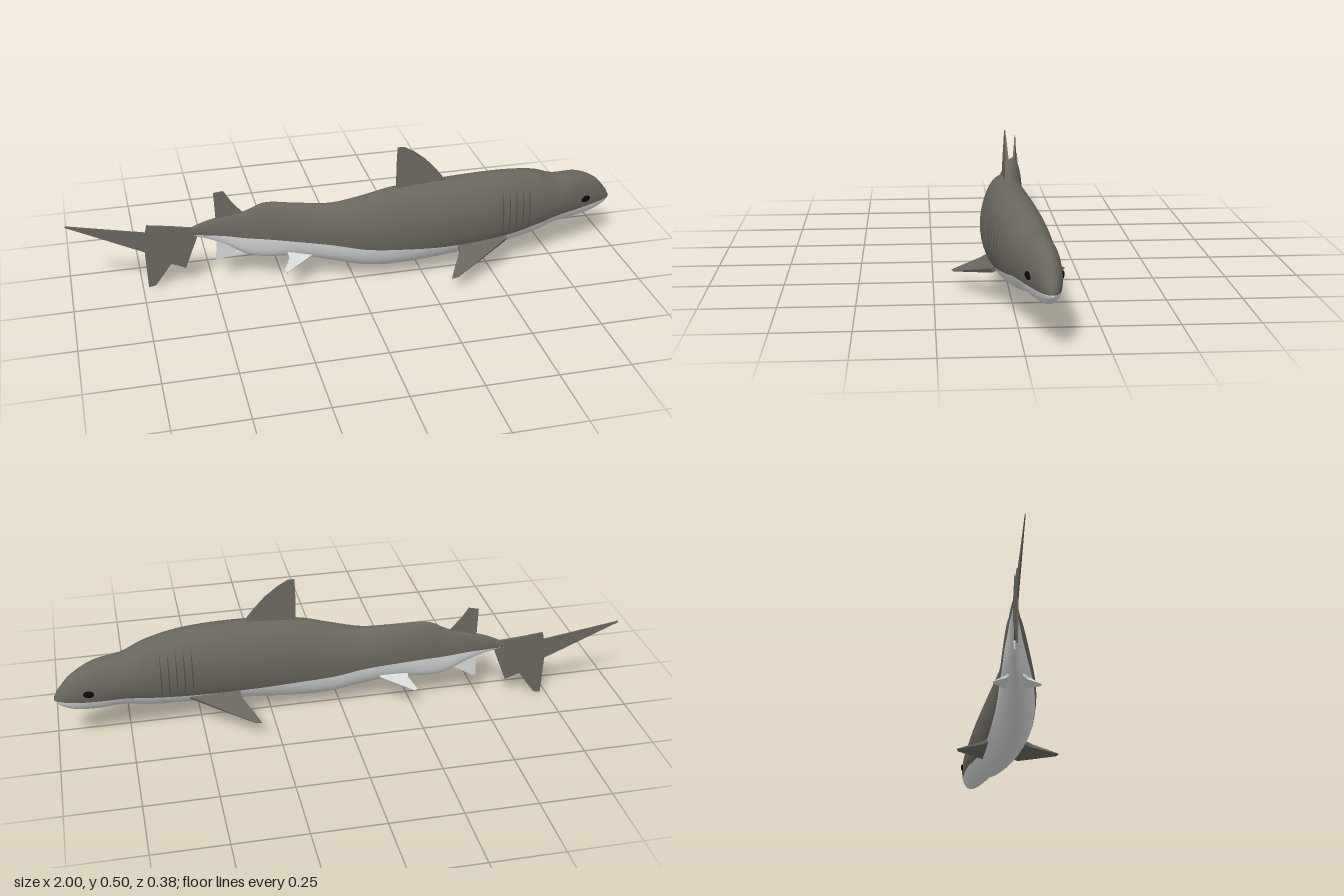
import * as THREE from 'three';

const back = new THREE.MeshStandardMaterial({ color: 0x69665d });
back.name = 'slate back';
const belly = new THREE.MeshStandardMaterial({ color: 0xd6d8d7 });
belly.name = 'pale belly';
const black = new THREE.MeshStandardMaterial({ color: 0x0a0a0a });
black.name = 'eye black';
const slit = new THREE.MeshStandardMaterial({ color: 0x504e47 });
slit.name = 'gill grey';

// Body stations: x, top, bottom, centre z, half width, colour line height
const rows = [
  [-0.61, 0.208, 0.2, -0.098, 0.003, 0.204],
  [-0.53, 0.247, 0.187, -0.088, 0.01, 0.2],
  [-0.45, 0.27, 0.155, -0.078, 0.018, 0.196],
  [-0.38, 0.284, 0.115, -0.068, 0.025, 0.188],
  [-0.31, 0.314, 0.1, -0.058, 0.034, 0.184],
  [-0.2, 0.307, 0.1, -0.04, 0.047, 0.175],
  [-0.08, 0.301, 0.078, -0.021, 0.06, 0.163],
  [0.03, 0.322, 0.053, -0.008, 0.071, 0.143],
  [0.14, 0.348, 0.047, 0, 0.079, 0.135],
  [0.33, 0.363, 0.062, 0.003, 0.091, 0.128],
  [0.54, 0.362, 0.079, -0.01, 0.09, 0.135],
  [0.68, 0.342, 0.096, -0.03, 0.079, 0.153],
  [0.76, 0.312, 0.117, -0.044, 0.07, 0.166],
  [0.86, 0.302, 0.121, -0.062, 0.055, 0.17],
  [0.94, 0.262, 0.134, -0.074, 0.038, 0.174],
  [0.985, 0.212, 0.157, -0.077, 0.02, 0.177],
  [1.0, 0.185, 0.172, -0.077, 0.006, 0.178],
];

// Smooth interpolation between stations
function slope(i, k) {
  const a = rows[Math.max(i - 1, 0)], b = rows[Math.min(i + 1, rows.length - 1)];
  return (b[k] - a[k]) / (b[0] - a[0]);
}
function at(x) {
  let i = 0;
  while (i < rows.length - 2 && x > rows[i + 1][0]) i++;
  const a = rows[i], b = rows[i + 1], d = b[0] - a[0];
  const t = THREE.MathUtils.clamp((x - a[0]) / d, 0, 1), t2 = t * t, t3 = t2 * t;
  const v = (k) => a[k] * (2 * t3 - 3 * t2 + 1) + b[k] * (3 * t2 - 2 * t3)
    + d * (slope(i, k) * (t3 - 2 * t2 + t) + slope(i + 1, k) * (t3 - t2));
  const top = v(1), bottom = v(2), yc = (top + bottom) / 2, h = (top - bottom) / 2;
  return { yc, h, cz: v(3), w: v(4), line: Math.asin(THREE.MathUtils.clamp((v(5) - yc) / h, -0.9, 0.9)) };
}
function skin(x, angle, lift = 0) {
  const s = at(x);
  return [x, s.yc + (s.h + lift) * Math.sin(angle), s.cz + (s.w + lift) * Math.cos(angle)];
}

// Lofted body, its rings split at the colour line
function makeBody() {
  const N = 120, UP = 30, LOW = 18, R = UP + LOW, pos = [], upper = [], lower = [];
  for (let i = 0; i <= N; i++) {
    const x = -0.61 + 1.61 * Math.sin((i / N) * Math.PI / 2), s = at(x);
    for (let j = 0; j < R; j++) {
      const angle = j <= UP
        ? s.line + (Math.PI - 2 * s.line) * (j / UP)
        : Math.PI - s.line + (Math.PI + 2 * s.line) * ((j - UP) / LOW);
      if (i === 0 || i === N) pos.push(x, s.yc, s.cz);
      else pos.push(...skin(x, angle));
      if (i === N) continue;
      const a = i * R + j, b = i * R + (j + 1) % R;
      (j < UP ? upper : lower).push(a, a + R, b, b, a + R, b + R);
    }
  }
  const g = new THREE.BufferGeometry();
  g.setAttribute('position', new THREE.Float32BufferAttribute(pos, 3));
  g.setIndex([...upper, ...lower]);
  g.addGroup(0, upper.length, 0);
  g.addGroup(upper.length, lower.length, 1);
  g.computeVertexNormals();
  return new THREE.Mesh(g, [back, belly]);
}

// Flat fin that thins with distance from its root; centre(x) bends it sideways
function makeFin(name, material, points, thick, thin, fade, centre = () => 0) {
  const shape = new THREE.Shape(points.map(([x, y]) => new THREE.Vector2(x, y)));
  const g = new THREE.ExtrudeGeometry(shape, { depth: 1, bevelEnabled: false });
  const p = g.attributes.position;
  for (let i = 0; i < p.count; i++) {
    const x = p.getX(i), t = THREE.MathUtils.clamp(fade(x, p.getY(i)), 0, 1);
    p.setZ(i, centre(x) + (p.getZ(i) - 0.5) * THREE.MathUtils.lerp(thick, thin, t));
  }
  g.computeVertexNormals();
  const mesh = new THREE.Mesh(g, material);
  mesh.name = name;
  return mesh;
}

// Thin gill strip lying on the skin
function makeGill(x, side) {
  const pos = [], index = [], n = 20;
  for (let i = 0; i <= n; i++) {
    const a = -0.5 + 1.25 * (i / n), angle = side > 0 ? a : Math.PI - a;
    const half = 0.0022 * Math.sin(Math.PI * (0.05 + 0.9 * i / n));
    pos.push(...skin(x - half, angle, 0.001), ...skin(x + half, angle, 0.001));
    if (i === n) continue;
    const k = i * 2;
    if (side > 0) index.push(k, k + 1, k + 2, k + 2, k + 1, k + 3);
    else index.push(k, k + 2, k + 1, k + 2, k + 3, k + 1);
  }
  const g = new THREE.BufferGeometry();
  g.setAttribute('position', new THREE.Float32BufferAttribute(pos, 3));
  g.setIndex(index);
  g.computeVertexNormals();
  const mesh = new THREE.Mesh(g, slit);
  mesh.name = side > 0 ? 'gillSlitFront' : 'gillSlitRear';
  return mesh;
}

export function createModel() {
  const model = new THREE.Group();
  model.name = 'shark';
  const body = makeBody();
  body.name = 'body';
  model.add(body);

  // Fins on the midline
  model.add(makeFin('dorsalFin', back,
    [[0.155, 0.33], [0.153, 0.42], [0.155, 0.503], [0.178, 0.503], [0.215, 0.482], [0.26, 0.445], [0.3, 0.4], [0.335, 0.355], [0.33, 0.33]],
    0.022, 0.002, (x, y) => (y - 0.34) / 0.16, () => 0.002));
  model.add(makeFin('secondDorsalFin', back,
    [[-0.48, 0.24], [-0.485, 0.36], [-0.45, 0.366], [-0.425, 0.325], [-0.385, 0.275], [-0.39, 0.25]],
    0.012, 0.002, (x, y) => (y - 0.26) / 0.1, (x) => at(x).cz));
  model.add(makeFin('analFin', belly,
    [[-0.48, 0.19], [-0.487, 0.092], [-0.475, 0.09], [-0.39, 0.14], [-0.39, 0.17]],
    0.012, 0.002, (x, y) => (0.16 - y) / 0.07, (x) => at(x).cz));
  model.add(makeFin('tailFin', back,
    [[-1, 0.274], [-1, 0.268], [-0.735, 0.145], [-0.73, 0], [-0.705, 0.005], [-0.645, 0.09], [-0.595, 0.068],
      [-0.55, 0.19], [-0.55, 0.225], [-0.64, 0.238], [-0.722, 0.25], [-0.728, 0.222]],
    0.012, 0.002, (x, y) => Math.hypot(x + 0.58, y - 0.2) / 0.25,
    (x) => (x > -0.6 ? at(x).cz : -0.065 + 0.055 * x)));

  // Paired fins, gills and eyes on both sides
  for (const side of [1, -1]) {
    const pectoral = makeFin('pectoralFin', back,
      [[0.55, -0.03], [0.55, 0], [0.45, 0.062], [0.335, 0.132], [0.31, 0.136], [0.335, 0.085], [0.365, 0.03], [0.37, -0.03]],
      0.016, 0.002, (x, s) => s / 0.13);
    pectoral.rotation.x = side * THREE.MathUtils.degToRad(118);
    pectoral.position.set(0, 0.124, side * 0.069);
    model.add(pectoral);

    const pelvic = makeFin('pelvicFin', belly,
      [[-0.14, -0.02], [-0.135, 0], [-0.25, 0.064], [-0.262, 0.06], [-0.235, 0.01], [-0.24, -0.02]],
      0.01, 0.002, (x, s) => s / 0.06);
    pelvic.rotation.x = side * THREE.MathUtils.degToRad(126);
    pelvic.position.set(0, 0.116, -0.042 + side * 0.03);
    model.add(pelvic);

    for (let i = 0; i < 5; i++) model.add(makeGill(0.53 + i * 0.027, side));

    const eye = new THREE.Mesh(new THREE.SphereGeometry(1, 20, 14), black);
    eye.name = 'eye';
    eye.scale.set(0.02, 0.013, 0.007);
    const s = at(0.885);
    eye.position.set(0.885, 0.205, s.cz + side * s.w * 0.985);
    eye.rotation.y = side * 0.25;
    model.add(eye);
  }
  return model;
}
